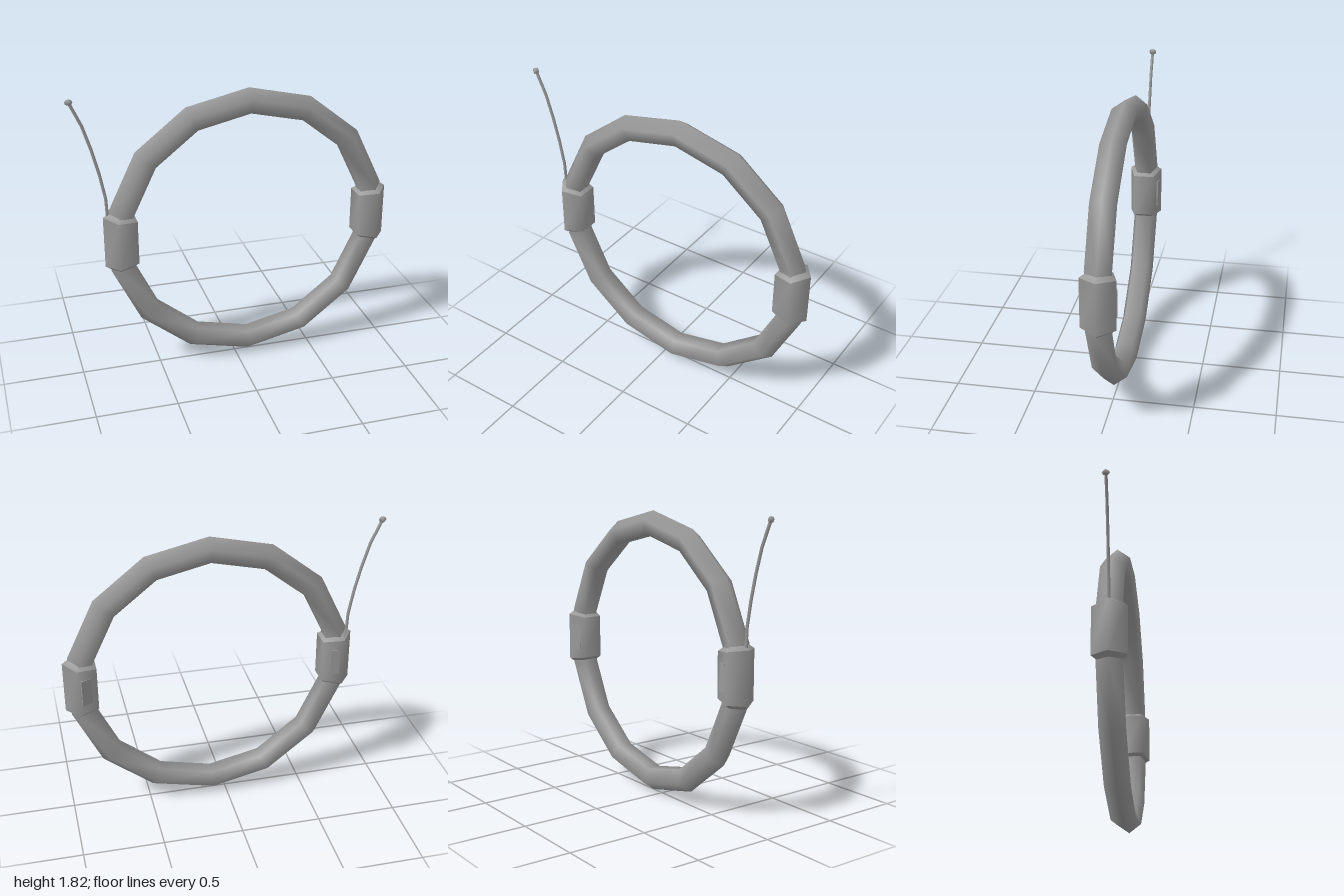
import * as THREE from 'three';

const CX = 0.09, CY = 0.901; // centre of the ring
const SIDES = 5;

// Pentagonal sleeve, smooth around its sides and creased at the bevels.
// The tapered ends lean with the ring and sink into its tube.
function sleeveGeometry() {
  const sections = [ // height, slope, radius
    [-0.185, -0.2, 0.06], [-0.15, -0.125, 0.11],
    [0.15, 0.125, 0.11], [0.185, 0.2, 0.06],
  ];
  const pos = [], index = [];
  const addSection = ([h, slope, r]) => {
    for (let i = 0; i < SIDES; i++) {
      const a = (i / SIDES) * Math.PI * 2, dx = r * Math.cos(a);
      pos.push(dx, h + slope * dx, r * Math.sin(a));
    }
  };
  for (let j = 0; j < sections.length - 1; j++) {
    const base = pos.length / 3;
    addSection(sections[j]);
    addSection(sections[j + 1]);
    for (let i = 0; i < SIDES; i++) {
      const a = base + i, b = base + (i + 1) % SIDES;
      index.push(a, a + SIDES, b, b, a + SIDES, b + SIDES);
    }
  }
  const g = new THREE.BufferGeometry();
  g.setAttribute('position', new THREE.Float32BufferAttribute(pos, 3));
  g.setIndex(index);
  g.computeVertexNormals();
  return g;
}

export function createModel() {
  const model = new THREE.Group();
  const material = new THREE.MeshStandardMaterial({ color: 0x999999 });
  const add = (parent, name, geometry, x, y, z) => {
    const mesh = new THREE.Mesh(geometry, material);
    mesh.name = name;
    mesh.position.set(x, y, z);
    parent.add(mesh);
    return mesh;
  };

  // Fourteen-segment ring with a pentagonal tube, one corner at the very top
  const ring = add(model, 'ring', new THREE.TorusGeometry(0.816, 0.0815, SIDES, 14), CX, CY, 0);
  ring.rotation.z = Math.PI / 2;

  // Side sleeves, each with a thin plate half sunk into its rear face
  const sleeve = sleeveGeometry();
  const clamps = [
    { name: 'leftClamp', side: 1, width: 0.07, x: -0.02, z: -0.087, tilt: 0.42 },
    { name: 'rightClamp', side: -1, width: 0.055, x: 0.013, z: -0.09, tilt: -0.12 },
  ];
  for (const { name, side, width, x, z, tilt } of clamps) {
    const clamp = new THREE.Group();
    clamp.name = name;
    clamp.position.set(CX + side * 0.8, CY, 0);
    model.add(clamp);
    const body = add(clamp, 'sleeve', sleeve, 0, 0, 0);
    if (side < 0) body.rotation.y = Math.PI;
    const plate = add(clamp, 'plate', new THREE.BoxGeometry(width, 0.17, 0.01), x, 0, z);
    plate.rotation.y = tilt;
  }

  // Curved antenna with a small faceted tip
  const path = new THREE.CatmullRomCurve3([
    [-0.79, 1.03], [-0.798, 1.2], [-0.848, 1.44], [-0.908, 1.65], [-0.975, 1.8],
  ].map(([x, y]) => new THREE.Vector3(x, y, 0)));
  add(model, 'antenna', new THREE.TubeGeometry(path, 5, 0.01, 5), 0, 0, 0);
  const tip = add(model, 'antennaTip', new THREE.SphereGeometry(0.024, 4, 4), -0.976, 1.803, 0);
  tip.scale.y = 0.8;

  return model;
}
